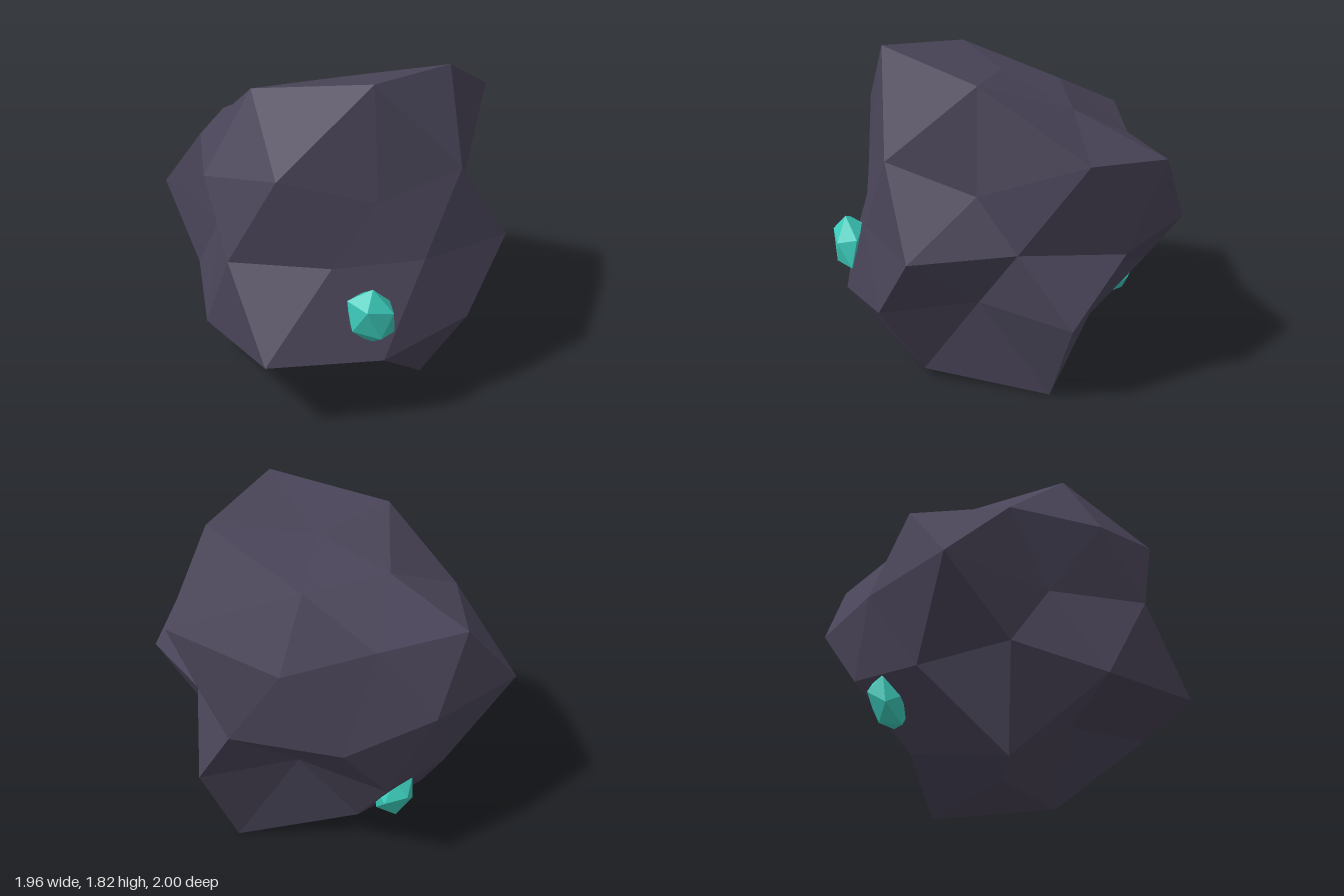
import * as THREE from 'three';

const CENTRE = new THREE.Vector3(0.072, 0.917, 0.005);
const SQUASH = 0.89;

// One ring of rock corners: start angle in degrees, unit height, radial stretch of each corner
function ring(start, height, stretch) {
  const flat = Math.sqrt(1 - height * height);
  return stretch.map((r, i) => {
    const a = THREE.MathUtils.degToRad(start + (i * 360) / stretch.length);
    return new THREE.Vector3(Math.cos(a) * flat * r, height * r * SQUASH, Math.sin(a) * flat * r);
  });
}

// Lumpy icosphere stitched from rings running from the top to the bottom
function rockGeometry() {
  const top = new THREE.Vector3(0, 0.86 * SQUASH, 0);
  const bottom = new THREE.Vector3(0, -0.92 * SQUASH, 0);
  const a = ring(0, 0.8507, [1.12, 1.21, 1.05, 0.83, 0.81]);
  const b = ring(0, 0.4472, [0.7, 0.81, 0.94, 1.0, 1.087]);
  const c = ring(36, 0.5257, [0.94, 1.03, 0.91, 0.82, 1.2]);
  const e = ring(18, 0, [0.955, 0.8, 0.785, 0.91, 0.685, 1.11, 0.9, 1.0, 0.935, 0.72]);
  const lowC = ring(0, -0.5257, [0.7, 1.04, 1.01, 0.93, 0.66]);
  const lowB = ring(36, -0.4472, [0.98, 1.17, 0.91, 0.94, 0.98]);
  const lowA = ring(36, -0.8507, [1.11, 0.735, 1.19, 0.98, 1.19]);

  const points = [];
  const normal = new THREE.Vector3(), side = new THREE.Vector3();
  // Adds a face, turned so that it looks outwards
  const face = (p, q, r) => {
    normal.subVectors(q, p).cross(side.subVectors(r, p));
    points.push(...(normal.dot(p) > 0 ? [p, q, r] : [p, r, q]));
  };

  for (let k = 0; k < 5; k++) {
    const n = (k + 1) % 5, m = (k + 4) % 5;
    const left = e[2 * k], right = e[2 * k + 1], before = e[(2 * k + 9) % 10];
    // cap
    face(top, a[k], a[n]);
    face(a[k], b[k], c[k]);
    face(a[k], c[k], a[n]);
    face(a[n], c[k], b[n]);
    // belt, pointing down
    face(b[k], left, c[k]);
    face(c[k], left, right);
    face(c[k], right, b[n]);
    face(left, lowB[k], right);
    // belt, pointing up
    face(b[k], before, left);
    face(before, lowB[m], lowC[k]);
    face(before, lowC[k], left);
    face(left, lowC[k], lowB[k]);
    // base
    face(bottom, lowA[k], lowA[m]);
    face(lowA[m], lowA[k], lowC[k]);
    face(lowA[k], lowB[k], lowC[k]);
    face(lowA[m], lowC[k], lowB[m]);
  }
  const geometry = new THREE.BufferGeometry().setFromPoints(points);
  geometry.computeVertexNormals();
  return geometry;
}

export function createModel() {
  const group = new THREE.Group();
  group.name = 'crystalRock';
  const stone = new THREE.MeshStandardMaterial({ color: 0x4a4559 });
  stone.name = 'dark stone';
  const teal = new THREE.MeshStandardMaterial({ color: 0x3cccbc });
  teal.name = 'teal crystal';

  const rock = new THREE.Mesh(rockGeometry(), stone);
  rock.name = 'rock';
  rock.position.copy(CENTRE);
  group.add(rock);

  // Faceted crystals half sunk into the rock
  const crystal = (name, position, scale, rotation) => {
    const mesh = new THREE.Mesh(new THREE.IcosahedronGeometry(1, 0), teal);
    mesh.name = name;
    mesh.position.set(...position);
    mesh.scale.set(...scale);
    mesh.rotation.set(...rotation);
    group.add(mesh);
  };
  crystal('frontCrystal', [0.275, 0.68, 0.835], [0.135, 0.175, 0.105], [0.15, 0.2, 0.4]);
  crystal('backCrystal', [-0.265, 0.4, -0.605], [0.11, 0.165, 0.11], [-0.5, 0.3, 0.3]);
  return group;
}
